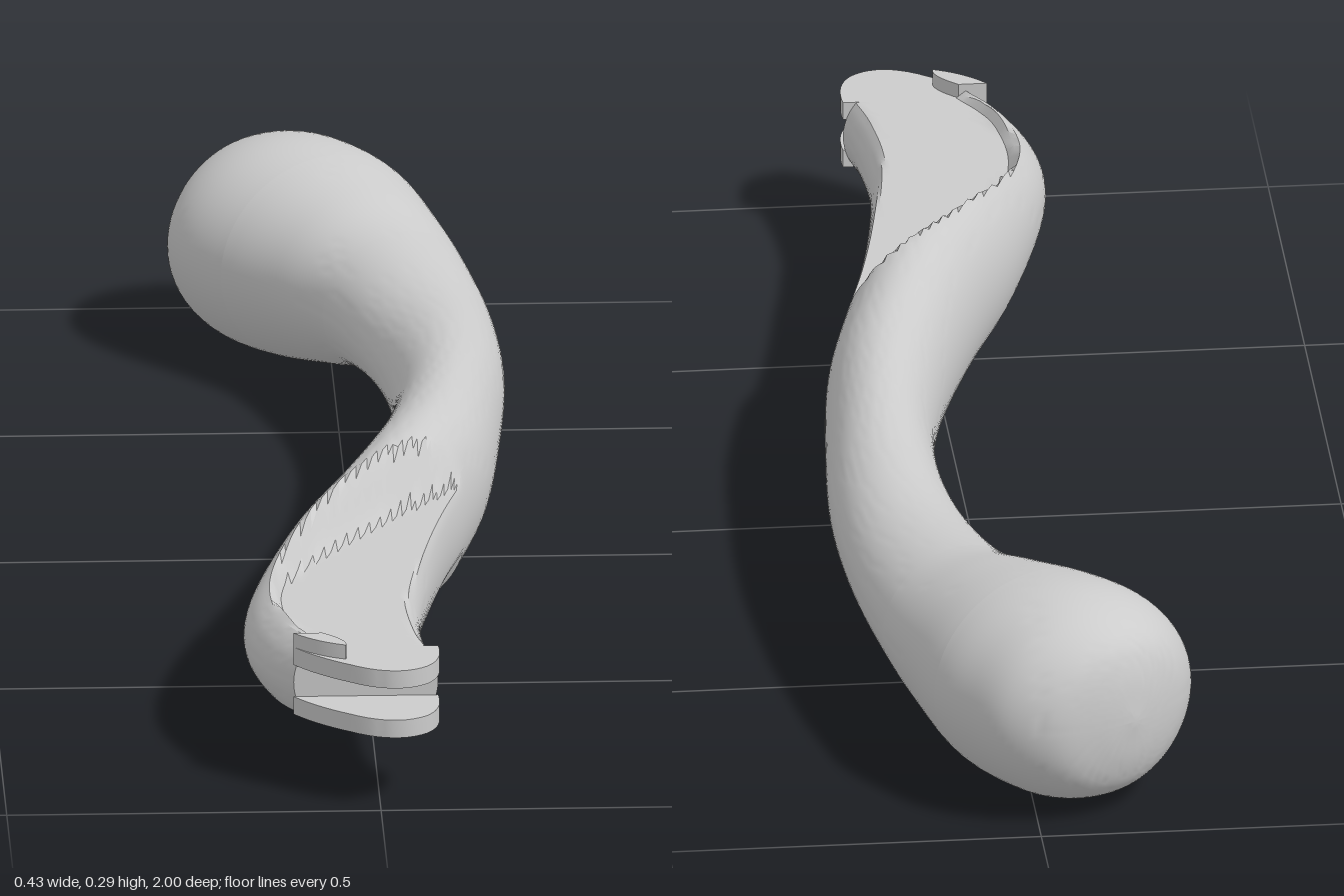
import * as THREE from 'three';
import { toCreasedNormals } from 'three/addons/utils/BufferGeometryUtils.js';

const MID = 0.15;   // height of the centre plane
const FLAT = 0.05;  // half thickness of the flattened blade
const RING = 72;    // points around a section
const STEPS = 6;    // rows between two key sections

// Key sections from the butt to the blade: left x, z, right x, z, half height
const SECTIONS = [
  [-0.13, -0.965, -0.13, -0.965, 0],
  [-0.17, -0.93, -0.08, -0.985, 0.065],
  [-0.205, -0.885, -0.015, -0.998, 0.108],
  [-0.217, -0.83, 0.05, -0.975, 0.135],
  [-0.2, -0.775, 0.095, -0.92, 0.147],
  [-0.15, -0.71, 0.13, -0.86, 0.142],
  [-0.08, -0.635, 0.155, -0.77, 0.122],
  [-0.02, -0.55, 0.18, -0.66, 0.097],
  [0.03, -0.4, 0.205, -0.48, 0.083],
  [0.055, -0.25, 0.213, -0.28, 0.09],
  [0.055, -0.1, 0.2, -0.08, 0.103],
  [0.03, 0.05, 0.18, 0.1, 0.114],
  [-0.01, 0.2, 0.145, 0.25, 0.123],
  [-0.06, 0.35, 0.115, 0.37, 0.127],
  [-0.12, 0.5, 0.09, 0.5, 0.125],
  [-0.165, 0.65, 0.068, 0.65, 0.105],
  [-0.172, 0.75, 0.063, 0.74, 0.09],
  [-0.15, 0.84, 0.07, 0.84, 0.085],
  [-0.113, 0.9, 0.08, 0.9, 0.085],
];
const LAST = SECTIONS.length - 1;
const leftEdge = new THREE.CatmullRomCurve3(
  SECTIONS.map(s => new THREE.Vector3(s[0], s[4], s[1])), false, 'catmullrom');
const rightEdge = new THREE.CatmullRomCurve3(
  SECTIONS.map(s => new THREE.Vector3(s[2], s[4], s[3])), false, 'catmullrom');

// Edge of the flat as x against z; the flat lies on its +x side
const CUT = [[0.13, 0.27], [0.03, 0.4], [-0.07, 0.55], [-0.12, 0.66],
  [-0.125, 0.75], [-0.1, 0.85], [-0.07, 0.91]];
function cutX(z) {
  let i = 0;
  while (i < CUT.length - 2 && z > CUT[i + 1][1]) i++;
  const [x0, z0] = CUT[i], [x1, z1] = CUT[i + 1];
  return x0 + (x1 - x0) * (z - z0) / (z1 - z0);
}

// Trim a section point to the flats and the sloping wall beside them
function trim(x, y, z) {
  if (z < 0.2) return y;
  let limit = FLAT + Math.max(0, cutX(z) - x) * 1.6;
  if (y < 0) limit = Math.min(limit, FLAT + Math.max(0, 0.7 - z) * 0.35);
  else if (z > 0.7) limit = Math.min(limit, 0.07);
  return THREE.MathUtils.clamp(y, -limit, limit);
}

// Loft between two key sections, optionally closed at the far end
function loft(from, to, closed = false) {
  const position = [], index = [];
  const rows = (to - from) * STEPS;
  for (let r = 0; r <= rows; r++) {
    const t = (from + r / STEPS) / LAST;
    const a = leftEdge.getPoint(t), b = rightEdge.getPoint(t);
    const c = a.clone().add(b).multiplyScalar(0.5);
    for (let j = 0; j < RING; j++) {
      const angle = j / RING * Math.PI * 2;
      const k = Math.cos(angle);
      const x = c.x + (b.x - c.x) * k, z = c.z + (b.z - c.z) * k;
      position.push(x, MID + trim(x, Math.sin(angle) * c.y, z), z);
    }
  }
  for (let r = 0; r < rows; r++) {
    for (let j = 0; j < RING; j++) {
      const n = (j + 1) % RING;
      const p = r * RING + j, q = r * RING + n;
      index.push(p, q, p + RING, q, q + RING, p + RING);
    }
  }
  if (closed) {
    const end = SECTIONS[to], first = rows * RING;
    position.push((end[0] + end[2]) / 2, MID, (end[1] + end[3]) / 2);
    for (let j = 0; j < RING; j++) {
      index.push(first + j, first + (j + 1) % RING, first + RING);
    }
  }
  const g = new THREE.BufferGeometry();
  g.setAttribute('position', new THREE.Float32BufferAttribute(position, 3));
  g.setIndex(index);
  return toCreasedNormals(g, 0.5);
}

// Flat plate drawn in x, z and raised between two heights
function plate(shape, y0, y1) {
  const g = new THREE.ExtrudeGeometry(shape, { depth: y1 - y0, bevelEnabled: false, curveSegments: 10 });
  g.rotateX(Math.PI / 2);
  g.translate(0, y1, 0);
  return toCreasedNormals(g, 0.6);
}

function tipShape() {
  const s = new THREE.Shape();
  s.moveTo(-0.113, 0.9);
  s.quadraticCurveTo(-0.085, 0.94, -0.04, 0.972);
  s.bezierCurveTo(0, 1.005, 0.035, 1.007, 0.062, 0.982);
  s.quadraticCurveTo(0.086, 0.955, 0.08, 0.9);
  s.closePath();
  return s;
}

function rimShape() {
  const s = new THREE.Shape();
  s.moveTo(-0.113, 0.9);
  s.quadraticCurveTo(-0.085, 0.935, -0.045, 0.95);
  s.quadraticCurveTo(-0.04, 0.93, -0.075, 0.9);
  s.closePath();
  return s;
}

export function createModel() {
  const model = new THREE.Group();
  model.name = 'curvedHandle';
  const material = new THREE.MeshStandardMaterial({ color: 0xcccccc, side: THREE.DoubleSide });
  const add = (name, geometry) => {
    const mesh = new THREE.Mesh(geometry, material);
    mesh.name = name;
    model.add(mesh);
  };

  // Rounded butt, collar and the curved grip with its flattened blade
  add('roundedButt', loft(0, 5));
  add('collar', loft(5, 7));
  add('grip', loft(7, LAST, true));

  // Forked tip: two prongs with a slot between, and a low rim on top
  add('upperProng', plate(tipShape(), 0.175, MID + FLAT));
  add('lowerProng', plate(tipShape(), 0.105, 0.13));
  add('prongRim', plate(rimShape(), MID + FLAT, 0.22));
  return model;
}
